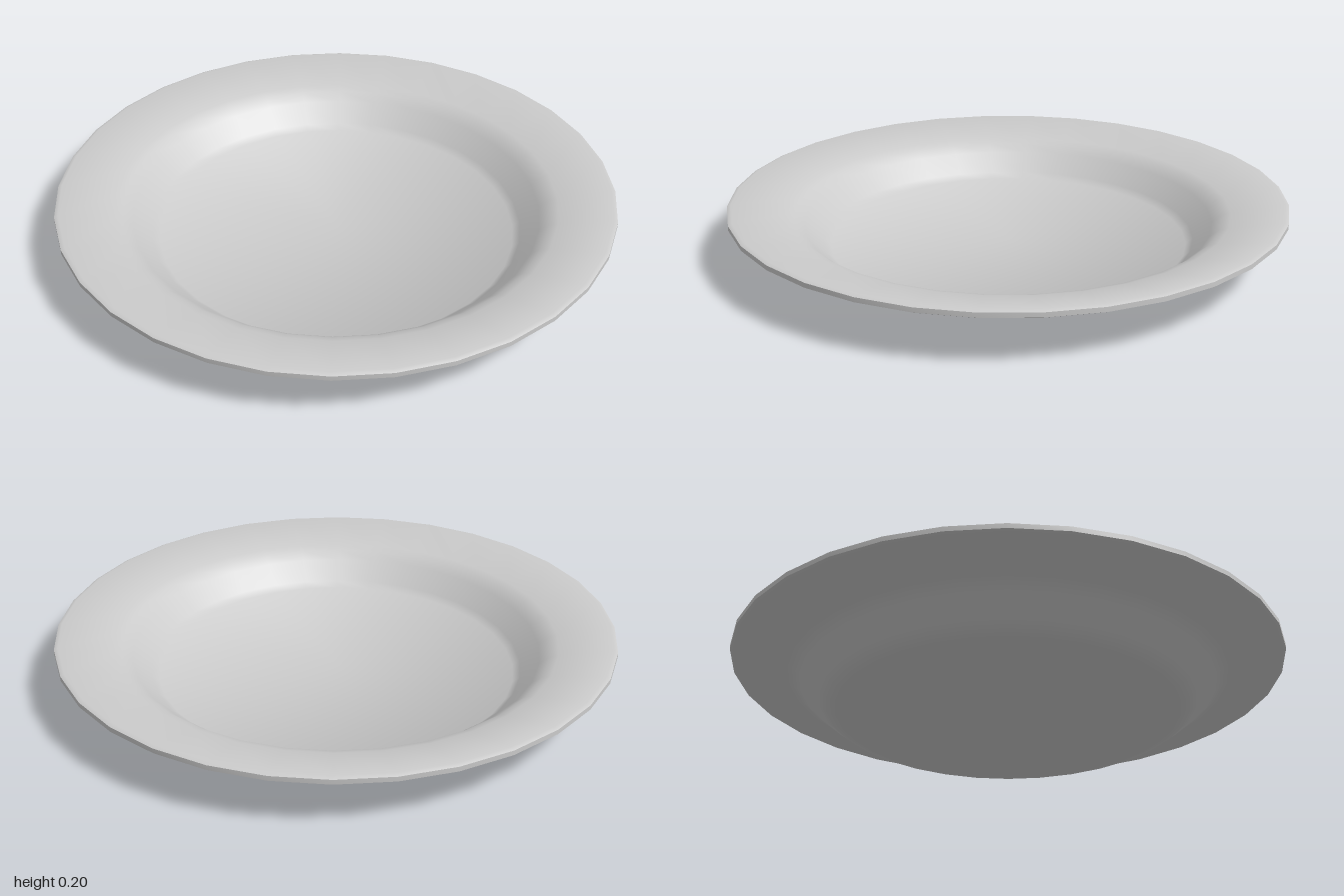
import * as THREE from 'three';
import { toCreasedNormals } from 'three/addons/utils/BufferGeometryUtils.js';

const SIDES = 32;

export function createModel() {
  const group = new THREE.Group();
  group.name = 'dinnerPlate';

  // Closed cross-section: underside outwards, round the lip, then back in to the floor
  const underside = [[0, 0], [0.62, 0.004], [0.655, 0.014], [0.685, 0.038], [0.75, 0.095], [0.78, 0.12], [0.81, 0.13]];
  const lip = [[0.99, 0.168], [1.004, 0.175], [1.004, 0.192], [0.99, 0.198]];
  const upperSide = [[0.8, 0.157], [0.77, 0.147], [0.735, 0.12], [0.67, 0.055], [0.645, 0.034], [0, 0.03]];
  const profile = [...underside, ...lip, ...upperSide].map(([r, y]) => new THREE.Vector2(r, y));

  // Half-step turn puts flat facets on the four axes
  const lathe = new THREE.LatheGeometry(profile, SIDES, Math.PI / SIDES);
  const plate = new THREE.Mesh(
    toCreasedNormals(lathe, 0.72),
    new THREE.MeshStandardMaterial({ color: 0xcccccc })
  );
  plate.name = 'plate';
  group.add(plate);
  return group;
}
